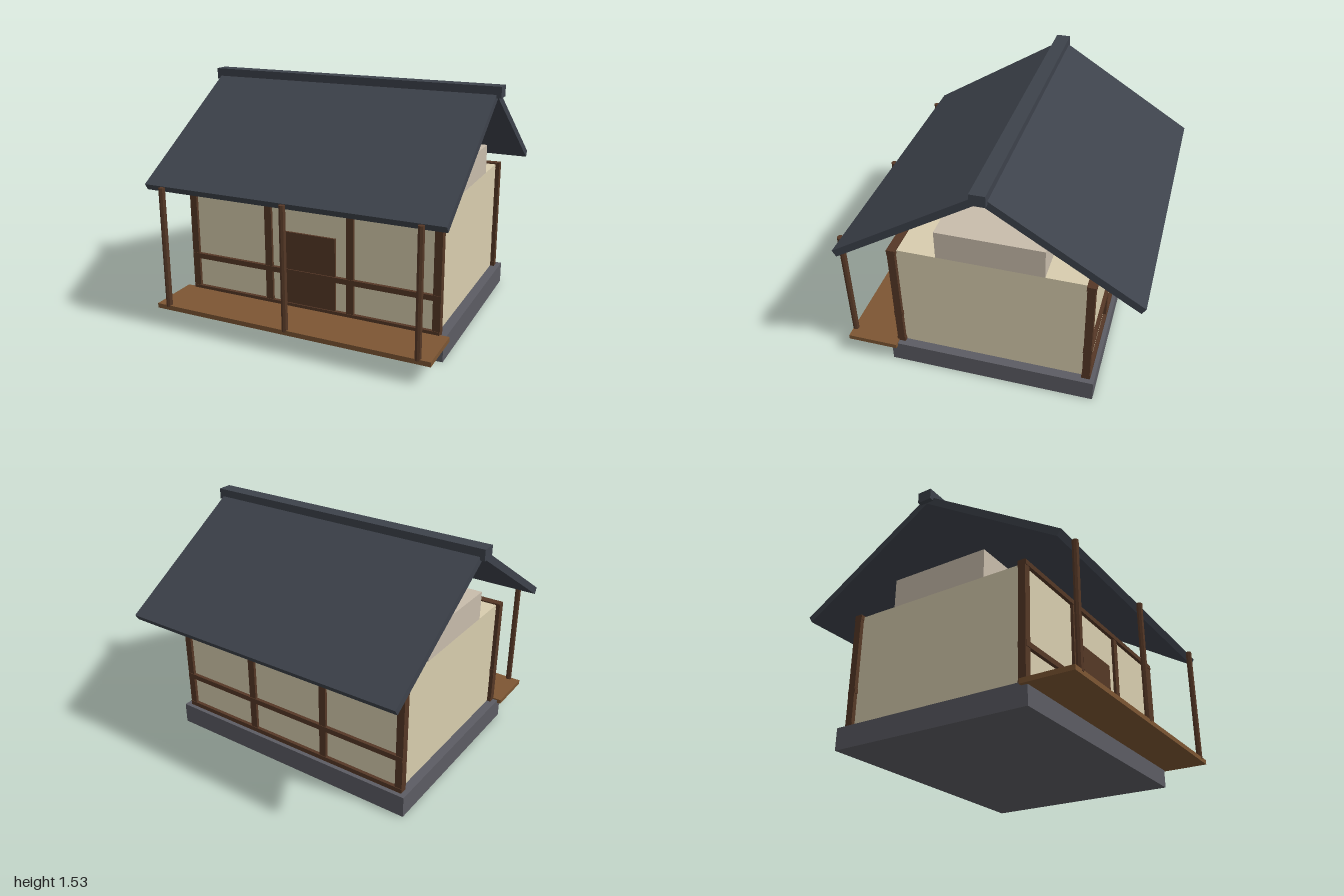
import * as THREE from 'three';

const mat = (color, flatShading = false) => new THREE.MeshStandardMaterial({ color, flatShading });

export function createModel() {
  const house = new THREE.Group();
  house.name = 'house';
  const stone = mat(0x5c5c63), wood = mat(0x553826), deckWood = mat(0x7d5633);
  const plaster = mat(0xd8cdae), attic = mat(0xc8bcab), slate = mat(0x3d424b);
  const roundWood = mat(0x553826, true);

  // Box given by its extents on each axis
  const box = (name, material, [x0, x1], [y0, y1], [z0, z1], parent = house) => {
    const mesh = new THREE.Mesh(new THREE.BoxGeometry(x1 - x0, y1 - y0, z1 - z0), material);
    mesh.position.set((x0 + x1) / 2, (y0 + y1) / 2, (z0 + z1) / 2);
    mesh.name = name;
    parent.add(mesh);
    return mesh;
  };

  // Foundation, veranda floor and solid wall core
  box('foundation', stone, [-0.89, 0.89], [0, 0.14], [-0.68, 0.65]);
  box('verandaDeck', deckWood, [-0.915, 0.915], [0.12, 0.15], [0.61, 0.94]);
  box('walls', plaster, [-0.83, 0.83], [0.14, 0.89], [-0.63, 0.6]);
  box('atticBlock', attic, [-0.83, 0.83], [0.89, 1.08], [-0.35, 0.32]);
  box('door', wood, [-0.18, 0.18], [0.14, 0.64], [0.59, 0.615]);

  // Timber frames on the front and back walls
  for (const [name, z] of [['frontFrame', 0.595], ['backFrame', -0.625]]) {
    const frame = new THREE.Group();
    frame.name = name;
    house.add(frame);
    for (const x of [-0.833, -0.28, 0.28, 0.833]) {
      box('framePost', wood, [x - 0.024, x + 0.024], [0.14, 0.9], [z - 0.024, z + 0.024], frame);
    }
    for (const [y0, y1] of [[0.14, 0.17], [0.362, 0.396], [0.867, 0.898]]) {
      box('frameRail', wood, [-0.855, 0.855], [y0, y1], [z - 0.028, z + 0.028], frame);
    }
  }

  // Round posts along the veranda's outer edge
  for (const x of [-0.835, 0, 0.835]) {
    const post = new THREE.Mesh(new THREE.CylinderGeometry(0.02, 0.02, 0.78, 8), roundWood);
    post.position.set(x, 0.53, 0.925);
    post.name = 'verandaPost';
    house.add(post);
  }

  // Two sloping roof slabs meeting under a ridge beam
  const ridgeZ = -0.017, ridgeY = 1.48, run = 0.918, drop = 0.575;
  for (const side of [1, -1]) {
    const slab = new THREE.Mesh(
      new THREE.BoxGeometry(1.94, 0.046, Math.hypot(run, drop)), slate);
    slab.position.set(0, ridgeY - drop / 2, ridgeZ + side * run / 2);
    slab.rotation.x = side * Math.atan2(drop, run);
    slab.name = side > 0 ? 'frontRoofSlope' : 'backRoofSlope';
    house.add(slab);
  }
  box('ridgeBeam', slate, [-1, 1], [1.457, 1.528], [-0.064, 0.03]);

  return house;
}
